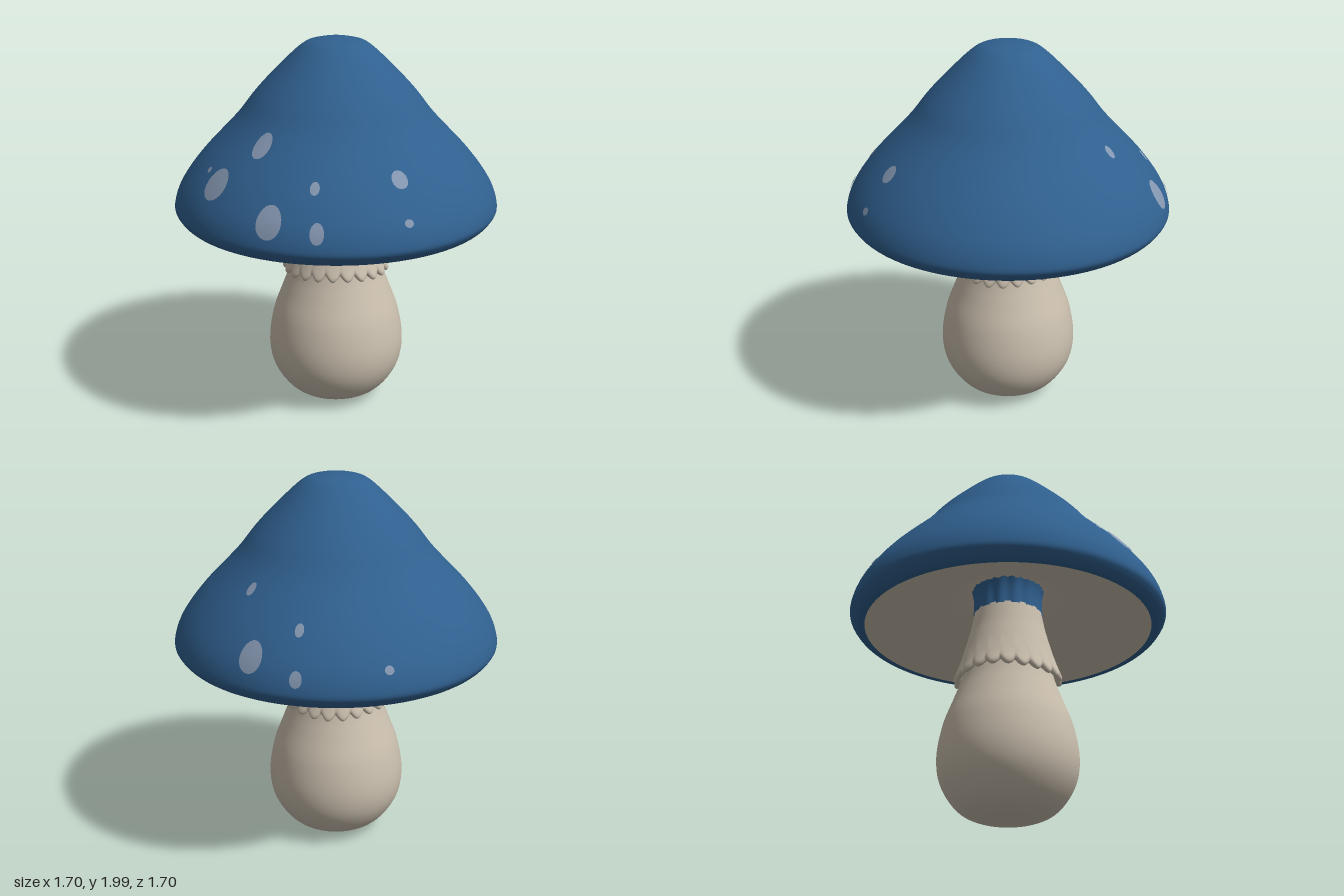
import * as THREE from 'three';
import { mergeVertices } from 'three/addons/utils/BufferGeometryUtils.js';

const mat = (name, color, side = THREE.FrontSide) => {
  const m = new THREE.MeshStandardMaterial({ color, side });
  m.name = name;
  return m;
};

// smooth curve through a few [radius, y] points
const curve = (pts, n) =>
  new THREE.SplineCurve(pts.map(([r, y]) => new THREE.Vector2(r, y))).getPoints(n)
    .map((p) => new THREE.Vector2(Math.max(p.x, 0), p.y));

// turned shape; bend(r, y, angle) may return a moved [r, y]
function turned(points, segments, bend) {
  let g = new THREE.LatheGeometry(points, segments);
  if (!bend) return g;
  const p = g.attributes.position;
  for (let i = 0; i < p.count; i++) {
    const x = p.getX(i), z = p.getZ(i), a = Math.atan2(x, z);
    const [r, y] = bend(Math.hypot(x, z), p.getY(i), a);
    p.setXYZ(i, r * Math.sin(a), y, r * Math.cos(a));
  }
  // weld the seam so the normals stay smooth
  g.deleteAttribute('normal');
  g.deleteAttribute('uv');
  g = mergeVertices(g, 1e-5);
  g.computeVertexNormals();
  return g;
}

export function createModel() {
  const group = new THREE.Group();
  const blue = mat('cap blue', 0x30608f);
  const cream = mat('stem cream', 0xcabfae);
  const spotGrey = mat('spot grey blue', 0x8496b0);
  const add = (name, geometry, material, parent = group) => {
    const m = new THREE.Mesh(geometry, material);
    m.name = name;
    parent.add(m);
    return m;
  };

  // cap: rolled rim, flared side and rounded crown
  const capPoints = curve([
    [0.77, 1.062], [0.8, 1.06], [0.835, 1.092], [0.85, 1.14], [0.81, 1.25], [0.7, 1.4],
    [0.52, 1.59], [0.425, 1.71], [0.333, 1.81], [0.18, 1.955], [0.09, 1.99], [0, 2],
  ], 66);
  add('cap', turned(capPoints, 96), blue);

  // underside: shallow hollow with fine radial gills
  const underPoints = curve([[0.15, 1.33], [0.2, 1.295], [0.3, 1.245], [0.5, 1.17], [0.7, 1.09], [0.77, 1.062]], 20);
  const gills = (r, y, a) => {
    const fade = Math.min(1, Math.max(0, (0.72 - r) / 0.3));
    return [r, y + 0.01 * fade * Math.pow(Math.abs(Math.sin(a * 14)), 0.6) - 0.005 * fade];
  };
  add('gills', turned(underPoints, 168, gills), cream);

  // stem: bulbous foot narrowing to the neck
  const stemPoints = curve([
    [0, 0.008], [0.12, 0.016], [0.25, 0.068], [0.34, 0.19], [0.367, 0.33], [0.342, 0.5],
    [0.29, 0.645], [0.252, 0.75], [0.22, 0.88], [0.19, 1.04], [0.18, 1.16],
  ], 50);
  add('stem', turned(stemPoints, 64), cream);

  // blue neck where the stem meets the cap, lightly fluted
  const neckPoints = curve([[0.184, 1.15], [0.181, 1.22], [0.188, 1.28], [0.205, 1.33]], 8);
  add('neck', turned(neckPoints, 112, (r, y, a) => [r + 0.004 * Math.cos(a * 14), y]), blue);

  // skirt: flared collar with a thick scalloped hem
  const lobes = 22;
  const skirtPoints = curve([
    [0.235, 0.815], [0.252, 0.775], [0.272, 0.765], [0.281, 0.785], [0.265, 0.835],
    [0.238, 0.92], [0.216, 1.0], [0.201, 1.06], [0.182, 1.16],
  ], 32);
  const scallop = (r, y, a) => {
    const hem = Math.min(1, Math.max(0, (0.94 - y) / 0.16));
    const lobe = Math.abs(Math.sin((a * lobes) / 2)) - 0.6;
    const uneven = 0.008 * Math.sin(a * 3 + 1);
    return [r + hem * hem * 0.018 * lobe, y + hem * (uneven - 0.032 * lobe)];
  };
  add('skirt', turned(skirtPoints, lobes * 12, scallop), cream);

  // cap radius at a given height, above the rim
  const side = capPoints.filter((p) => p.y >= 1.14);
  const radiusAt = (y) => {
    for (let i = 1; i < side.length; i++) {
      const a = side[i - 1], b = side[i];
      if (y <= b.y) return a.x + (b.x - a.x) * Math.max(0, (y - a.y) / (b.y - a.y));
    }
    return 0;
  };

  // spots draped on the cap: [azimuth in degrees, y, half width, half height]
  const spots = new THREE.Group();
  spots.name = 'spots';
  group.add(spots);
  [
    [-26.5, 1.54, 0.048, 0.055], [-39.7, 1.35, 0.074, 0.07], [-49.5, 1.39, 0.016, 0.012],
    [-11, 1.25, 0.064, 0.075], [5.6, 1.22, 0.034, 0.048], [3.7, 1.4, 0.023, 0.027],
    [37.6, 1.42, 0.041, 0.037], [36.4, 1.245, 0.023, 0.018],
    [167, 1.27, 0.06, 0.07], [184, 1.205, 0.03, 0.038], [183, 1.4, 0.022, 0.027],
    [153.4, 1.52, 0.023, 0.027], [214.5, 1.24, 0.023, 0.02],
  ].forEach(([deg, y0, w, h]) => {
    const g = new THREE.RingGeometry(0, 1, 24, 3);
    const p = g.attributes.position;
    const r0 = radiusAt(y0);
    for (let i = 0; i < p.count; i++) {
      const y = y0 + p.getY(i) * h;
      const a = THREE.MathUtils.degToRad(deg) + (p.getX(i) * w) / r0;
      const r = radiusAt(y) + 0.005;
      p.setXYZ(i, r * Math.sin(a), y + 0.003, r * Math.cos(a));
    }
    g.computeVertexNormals();
    add('spot', g, spotGrey, spots);
  });

  return group;
}
